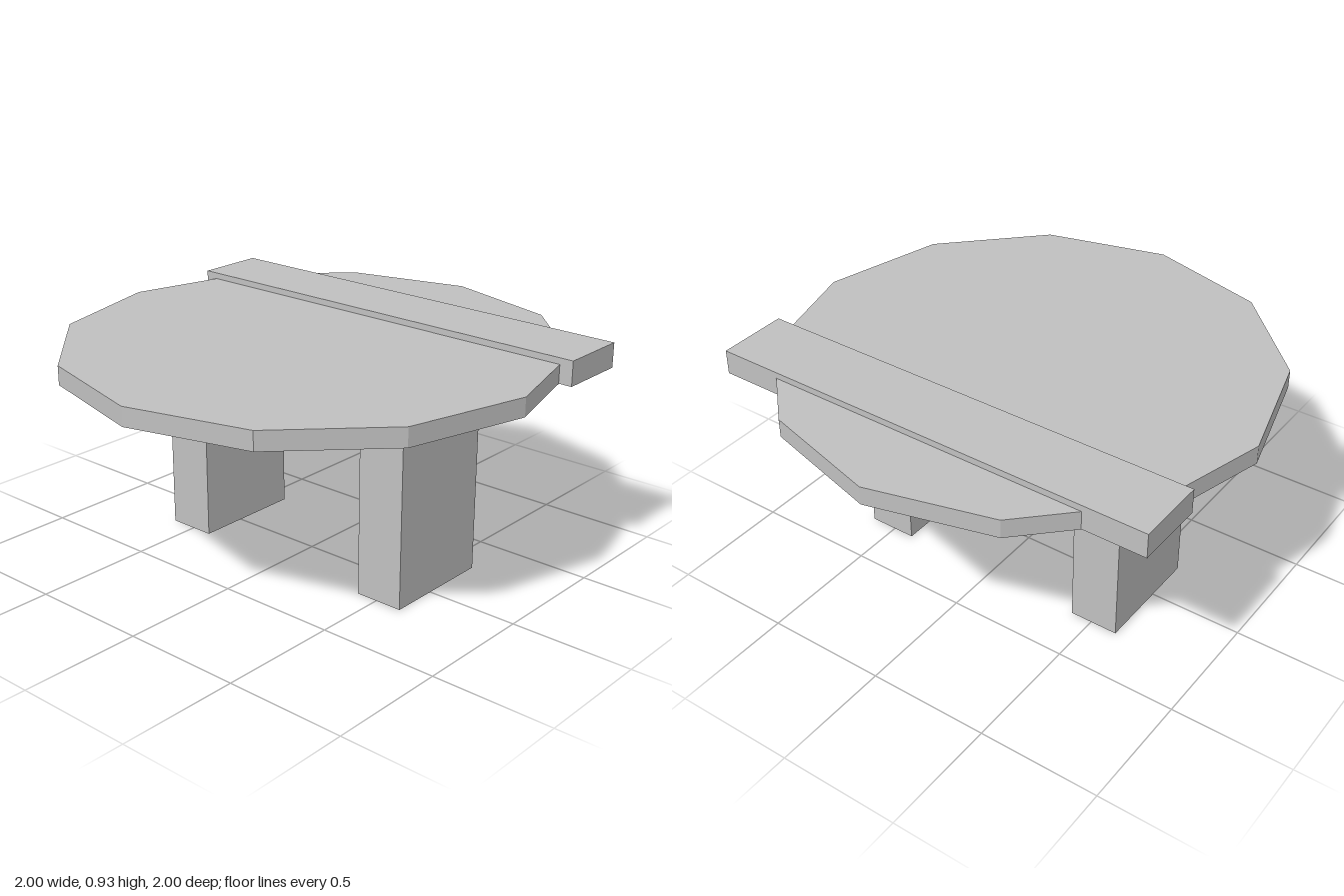
import * as THREE from 'three';

export function createModel() {
  const group = new THREE.Group();
  const grey = new THREE.MeshStandardMaterial({ color: 0xc0c0c0, flatShading: true });
  grey.name = 'plain grey';

  const add = (name, geometry, x, y, z) => {
    const mesh = new THREE.Mesh(geometry, grey);
    mesh.name = name;
    mesh.position.set(x, y, z);
    group.add(mesh);
  };
  // Box given by its lower and upper corners
  const addBox = (name, [x0, y0, z0], [x1, y1, z1]) =>
    add(name, new THREE.BoxGeometry(x1 - x0, y1 - y0, z1 - z0),
      (x0 + x1) / 2, (y0 + y1) / 2, (z0 + z1) / 2);

  const under = 0.827, top = 0.904;

  // Twelve-sided table top
  add('tableTop', new THREE.CylinderGeometry(1, 1, top - under, 12), 0, (under + top) / 2, 0);

  // Plank let into the top towards the back
  addBox('crossPlank', [-0.955, under + 0.001, -0.672], [0.955, 0.93, -0.378]);

  // Two slab legs
  for (const side of [-1, 1]) {
    const x = side * 0.511;
    addBox(side > 0 ? 'leftLeg' : 'rightLeg', [x - 0.102, 0, -0.28], [x + 0.102, under, 0.195]);
  }
  return group;
}
